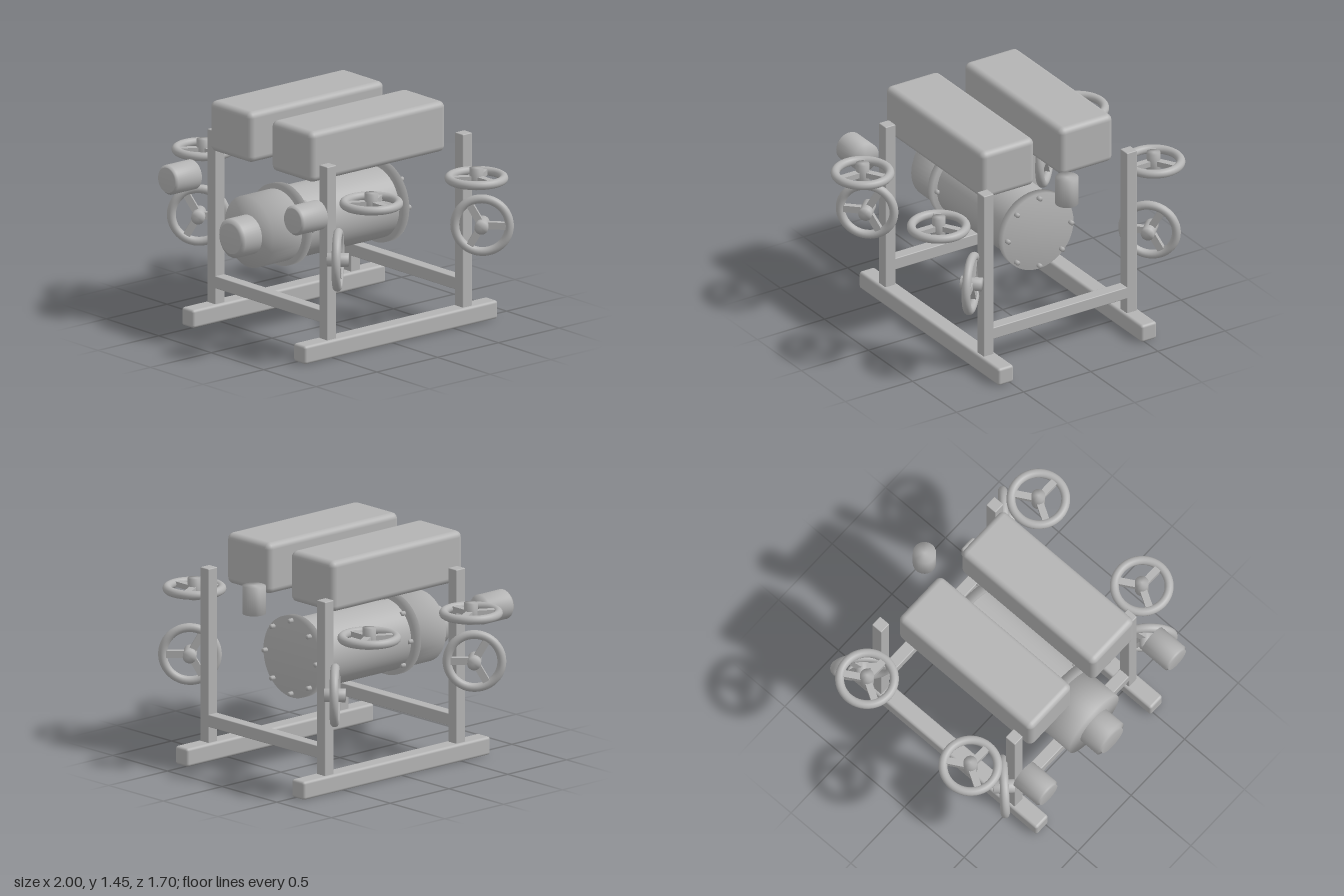
import * as THREE from 'three';
import { RoundedBoxGeometry } from 'three/addons/geometries/RoundedBoxGeometry.js';

const grey = new THREE.MeshStandardMaterial({ color: 0xb3b3b3 });
grey.name = 'plain grey';

function add(parent, name, geometry, x = 0, y = 0, z = 0) {
  const mesh = new THREE.Mesh(geometry, grey);
  mesh.name = name;
  mesh.position.set(x, y, z);
  parent.add(mesh);
  return mesh;
}

const block = (w, h, d, r) => new RoundedBoxGeometry(w, h, d, 3, r);

// Softly shaded solid of revolution about y; points are [radius, height], bottom to top
const turned = (points, sides = 48) =>
  new THREE.LatheGeometry(points.map(([r, h]) => new THREE.Vector2(r, h)), sides);

// Same, with its axis along z
const turnedZ = (points, sides) => turned(points, sides).rotateX(Math.PI / 2);

const drum = (r, from, to) => [[0, from], [r, from], [r, to], [0, to]];

// Three-spoked handwheel lying flat, axis along y, first spoke towards +x
function handwheel(name) {
  const wheel = new THREE.Group();
  wheel.name = name;
  add(wheel, 'wheelRim', new THREE.TorusGeometry(0.171, 0.028, 16, 48).rotateX(Math.PI / 2));
  add(wheel, 'wheelHub', turned(drum(0.043, -0.067, 0.067), 24));
  for (let i = 0; i < 3; i++) {
    const spoke = new THREE.BoxGeometry(0.165, 0.035, 0.045).translate(0.0825, 0, 0);
    add(wheel, 'wheelSpoke', spoke.rotateY((i * Math.PI * 2) / 3));
  }
  return wheel;
}

export function createModel() {
  const model = new THREE.Group();
  model.name = 'skidMountedPump';

  // Frame: skids, posts and low crossbars
  const postZ = [0.5, -0.617];
  for (const side of [-1, 1]) {
    add(model, 'skid', block(0.115, 0.118, 1.59, 0.018), side * 0.533, 0.059, -0.058);
    for (const z of postZ)
      add(model, 'post', block(0.076, 1.14, 0.078, 0.006), side * 0.533, 0.67, z);
  }
  for (const z of postZ)
    add(model, 'crossbar', block(1.14, 0.08, 0.078, 0.006), 0, 0.26, z);

  // Twin tanks above
  for (const side of [-1, 1])
    add(model, 'topTank', block(0.396, 0.328, 1.112, 0.04), side * 0.292, 1.29, 0.041);

  // Main vessel with bolted end flanges
  const vessel = new THREE.Group();
  vessel.name = 'vessel';
  vessel.position.y = 0.726;
  model.add(vessel);
  add(vessel, 'vesselBody', turnedZ([[0.23, -0.36], [0.23, 0.41]]));
  for (const [from, to, boltZ] of [[0.395, 0.45, 0.382], [-0.405, -0.35, -0.418]]) {
    add(vessel, 'flange', turnedZ(drum(0.262, from, to)));
    for (let i = 0; i < 8; i++) {
      const a = (i * Math.PI) / 4;
      add(vessel, 'flangeBolt', turnedZ(drum(0.015, -0.014, 0.014), 12),
        0.236 * Math.cos(a), 0.236 * Math.sin(a), boltZ);
    }
  }

  // Drive housing at the front of the vessel, and its nose
  add(vessel, 'driveHousing', turnedZ(drum(0.23, 0.43, 0.69)));
  add(model, 'driveNose', turnedZ([[0, 0.6], [0.126, 0.6], [0.126, 0.825], [0.097, 0.832],
    [0.097, 0.846], [0, 0.846]]), 0, 0.709, 0);

  // Front lamps
  for (const side of [-1, 1])
    add(model, 'frontLamp', turnedZ([[0, 0.64], [0.095, 0.64], [0.095, 0.832], [0.08, 0.839],
      [0.08, 0.85], [0, 0.85]]), side * 0.6, 0.958, 0);

  // Upright canister at the back
  add(model, 'rearCanister', turned(drum(0.073, 1.068, 1.248), 32), 0, 0, -0.728);

  // Handwheels: one flat and one upright, turned 45 degrees, at each corner
  for (const side of [-1, 1]) {
    for (const end of [-1, 1]) {
      const flat = handwheel('flatHandwheel');
      flat.position.set(side * 0.8, 1.026, end > 0 ? 0.373 : -0.492);
      model.add(flat);

      const upright = handwheel('uprightHandwheel');
      upright.position.set(side * 0.663, 0.659, end > 0 ? 0.53 : -0.657);
      upright.rotation.set(Math.PI / 2, -side * end * Math.PI / 4, 0, 'YXZ');
      model.add(upright);
    }
  }

  return model;
}
